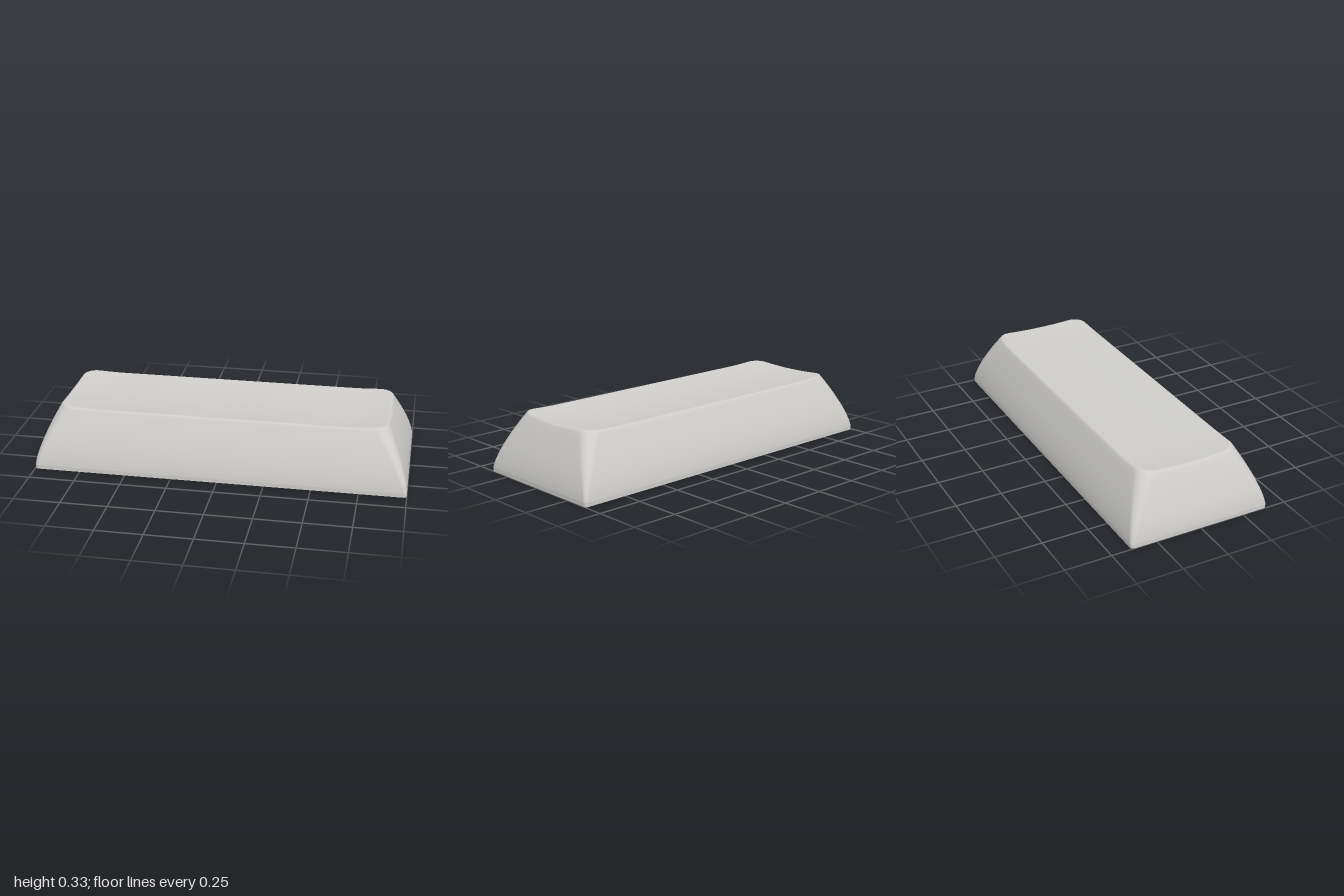
import * as THREE from 'three';

const HALF_X = 1, HALF_Z = 0.392, LIP = 0.022, CEILING = 0.2;

// Scooped top: a trough along x whose ends curl upward
const dish = (x, z) => {
  const e = Math.max(0, Math.abs(x) - 0.64);
  return 0.305 + 0.23 * (z * z + e * e);
};

// How far up the flank a height is, and how far the wall leans in there
const rise = (y) => Math.max(0, (y - LIP) / 0.31);
const lean = (y) => 0.12 * Math.pow(rise(y), 1.4);

// Rounded rectangle as [x, z] points, always with the same count
function outline(hx, hz, r) {
  const pts = [], ARC = 8;
  const corners = [[1, 1], [-1, 1], [-1, -1], [1, -1]];
  corners.forEach(([sx, sz], q) => {
    for (let i = 0; i <= ARC; i++) {
      const a = (q + i / ARC) * Math.PI / 2;
      pts.push([sx * (hx - r) + r * Math.cos(a), sz * (hz - r) + r * Math.sin(a)]);
    }
    const [nx, nz] = corners[(q + 1) % 4];
    const a = (q + 1) * Math.PI / 2;
    const ox = r * Math.cos(a), oz = r * Math.sin(a);
    const n = q % 2 ? 16 : 40;
    for (let i = 1; i < n; i++) {
      const t = i / n;
      pts.push([
        THREE.MathUtils.lerp(sx * (hx - r), nx * (hx - r), t) + ox,
        THREE.MathUtils.lerp(sz * (hz - r), nz * (hz - r), t) + oz,
      ]);
    }
  });
  return pts;
}

const flatRing = (hx, hz, r, y) => outline(hx, hz, r).map(([x, z]) => [x, y, z]);

// Skin a list of closed rings
function loft(rings, faceted = false) {
  const n = rings[0].length, index = [];
  for (let i = 0; i < rings.length - 1; i++) {
    for (let j = 0; j < n; j++) {
      const k = (j + 1) % n;
      const a = i * n + j, b = i * n + k, c = a + n, d = b + n;
      index.push(a, c, b, b, c, d);
    }
  }
  let geo = new THREE.BufferGeometry();
  geo.setAttribute('position', new THREE.Float32BufferAttribute(rings.flat(2), 3));
  geo.setIndex(index);
  if (faceted) geo = geo.toNonIndexed();
  geo.computeVertexNormals();
  return geo;
}

// Outline of the leaning flank at a height
const flankAt = (y) => outline(HALF_X - lean(y), HALF_Z - lean(y), 0.018 + 0.06 * rise(y));

function shellGeometry() {
  // Height at which each outline point meets the scooped top
  const rim = flankAt(0.32).map((p, j) => {
    let y = 0.32;
    for (let k = 0; k < 5; k++) y = dish(...flankAt(y)[j]);
    return y;
  });
  const ringOnFlank = (t) => rim.map((top, j) => {
    const y = LIP + (top - 0.014 - LIP) * t;
    const [x, z] = flankAt(y)[j];
    return [x, y, z];
  });
  const rings = [];
  for (let i = 0; i <= 14; i++) rings.push(ringOnFlank(i / 14));
  const edge = rings[14];
  const inset = (d) => edge.map(([x, , z]) => [x * (1 - d / 0.88), z * (1 - d / 0.275)]);

  // Small rounded rim
  for (const [d, drop] of [[0.006, 0.005], [0.011, 0.0015], [0.018, 0]]) {
    rings.push(inset(d).map(([x, z]) => [x, dish(x, z) - drop, z]));
  }
  // Scooped surface
  const inner = inset(0.018);
  for (let i = 1; i <= 14; i++) {
    const s = 1 - i / 14;
    rings.push(inner.map(([x, z]) => [x * s, dish(x * s, z * s), z * s]));
  }
  return loft(rings);
}

// Round post with a cross-shaped socket
function stemGeometry() {
  const shape = new THREE.Shape();
  shape.absarc(0, 0, 0.118, 0, Math.PI * 2, false);
  const l = 0.088, w = 0.028;
  const cross = [[l, w], [w, w], [w, l], [-w, l], [-w, w], [-l, w],
    [-l, -w], [-w, -w], [-w, -l], [w, -l], [w, -w], [l, -w]];
  shape.holes.push(new THREE.Path(cross.map(([x, y]) => new THREE.Vector2(x, y))));
  const geo = new THREE.ExtrudeGeometry(shape, { depth: CEILING, bevelEnabled: false, curveSegments: 24 });
  return geo.rotateX(-Math.PI / 2);
}

export function createModel() {
  const group = new THREE.Group();
  const plastic = new THREE.MeshStandardMaterial({ color: 0xcfcecb });
  plastic.name = 'warm grey plastic';
  const add = (name, geo) => {
    const mesh = new THREE.Mesh(geo, plastic);
    mesh.name = name;
    group.add(mesh);
    return mesh;
  };

  const wall = 0.041, taper = 0.067;
  const baseOuter = flatRing(HALF_X, HALF_Z, 0.018, 0);
  const baseInner = flatRing(HALF_X - wall, HALF_Z - wall, 0.004, 0);
  const roof = flatRing(HALF_X - wall - taper, HALF_Z - wall - taper, 0.004, CEILING);

  add('outerShell', shellGeometry());
  add('baseLip', loft([baseOuter, flatRing(HALF_X, HALF_Z, 0.018, LIP)]));
  add('bottomRim', loft([baseInner, baseOuter], true));
  add('innerWalls', loft([roof, baseInner], true));
  add('innerCeiling', loft([roof.map(() => [0, CEILING, 0]), roof], true));

  // Three mounting posts along the length
  const stem = stemGeometry();
  ['rightStem', 'middleStem', 'leftStem'].forEach((name, i) => {
    add(name, stem).position.x = (i - 1) * 0.51;
  });
  return group;
}
